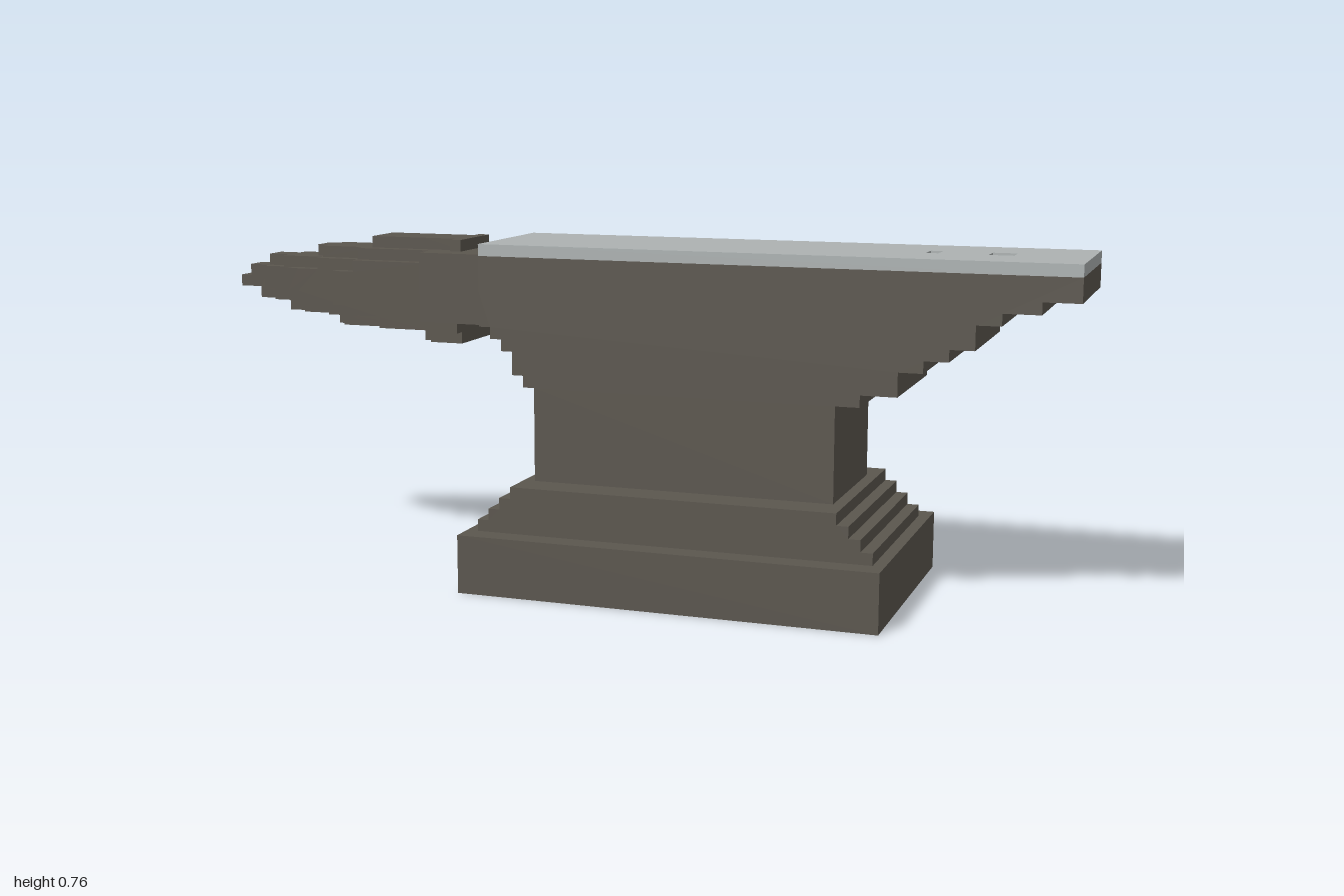
import * as THREE from 'three';

const U = 2 / 76; // one block
const X = (i) => -1 + i * U;

// Stepped outline from [start, low, high] bands along one axis.
function steppedShape(bands, end, alongY) {
  const hi = [], lo = [];
  bands.forEach(([start, a, b], k) => {
    const stop = k + 1 < bands.length ? bands[k + 1][0] : end;
    hi.push([start, b], [stop, b]);
    lo.push([start, a], [stop, a]);
  });
  const pts = [...hi, ...lo.reverse()].map(([s, t]) =>
    alongY ? new THREE.Vector2(X(t), s * U) : new THREE.Vector2(X(s), t * U));
  return new THREE.Shape(pts);
}

export function createModel() {
  const group = new THREE.Group();
  const iron = new THREE.MeshStandardMaterial({ color: 0x5b564e });
  iron.name = 'dark iron';
  const steel = new THREE.MeshStandardMaterial({ color: 0xadb2b2 });
  steel.name = 'pale steel';

  // Extrude an outline symmetrically in z by a half width in blocks.
  function slab(name, shape, half, parent = group) {
    const geo = new THREE.ExtrudeGeometry(shape, { depth: 2 * half * U, bevelEnabled: false });
    geo.translate(0, 0, -half * U);
    const mesh = new THREE.Mesh(geo, iron);
    mesh.name = name;
    parent.add(mesh);
  }

  // Foot: plinth and the stepped block above it
  slab('basePlinth', steppedShape([[0, 26, 62]], 5, true), 11);
  slab('baseSteps', steppedShape([[5, 27, 61], [6, 28, 60], [7, 29, 59], [8, 30, 58]], 9, true), 9);

  // Waist flaring into the stepped heel
  slab('body', steppedShape([
    [9, 31, 57], [17, 30, 59], [18, 29, 62], [20, 28, 64], [21, 27, 66],
    [22, 26, 68], [24, 26, 70], [25, 26, 73], [26, 26, 76],
  ], 28, true), 6);

  // Horn: nested stepped slabs approximating a tapering cone
  const horn = new THREE.Group();
  horn.name = 'horn';
  group.add(horn);
  const layers = [
    [[0, 24, 25], [1, 24, 26], [2, 23, 26], [3, 23, 27], [5, 22, 27], [8, 22, 28], [10, 21, 28],
      [14, 21, 29], [19, 20, 29], [23, 22, 28]],
    [[3, 24, 26], [4, 23, 26], [5, 23, 27], [7, 22, 27], [9, 22, 28], [11, 21, 28],
      [14, 21, 29], [19, 20, 29], [23, 22, 28]],
    [[6, 24, 26], [7, 23, 26], [9, 23, 27], [10, 22, 27], [13, 22, 28], [15, 21, 28],
      [20, 20, 28], [22, 20, 29], [23, 22, 28]],
    [[11, 23, 26], [13, 23, 27], [17, 22, 27], [20, 21, 28], [23, 22, 28]],
    [[20, 22, 28]],
  ];
  layers.forEach((bands, k) => slab(`hornLayer${k + 1}`, steppedShape(bands, 26, false), k + 1, horn));

  // Face plate with two tool holes
  const rect = (Type, x0, x1, h) => new Type([
    [x0, -h], [x1, -h], [x1, h], [x0, h],
  ].map(([x, z]) => new THREE.Vector2(X(x), z * U)));
  const face = rect(THREE.Shape, 26, 76, 6);
  face.holes.push(rect(THREE.Path, 63, 64, 1), rect(THREE.Path, 68, 70, 1));
  const plateGeo = new THREE.ExtrudeGeometry(face, { depth: U, bevelEnabled: false });
  plateGeo.rotateX(-Math.PI / 2);
  plateGeo.translate(0, 28 * U, 0);
  const plate = new THREE.Mesh(plateGeo, steel);
  plate.name = 'facePlate';
  group.add(plate);

  return group;
}
